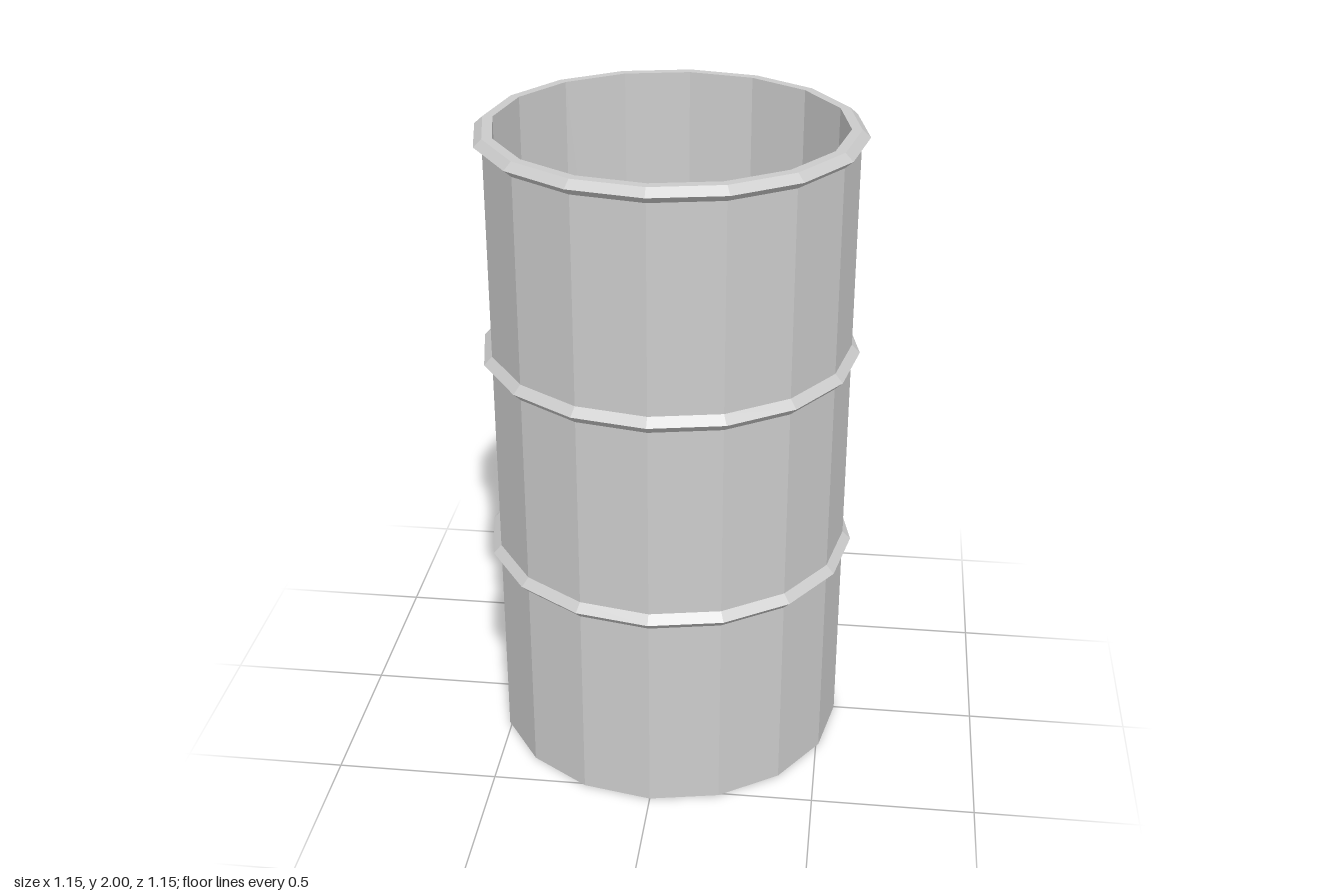
import * as THREE from 'three';

const SIDES = 16;
const OUTER = 0.55, INNER = 0.52, HOOP = 0.575;
const HEIGHT = 2, FLOOR = 0.03;

export function createModel() {
  const group = new THREE.Group();
  group.name = 'barrel';
  const material = new THREE.MeshStandardMaterial({ color: 0xcccccc, flatShading: true });

  // Revolve a profile of [radius, height] pairs into a faceted mesh
  const lathe = (name, profile) => {
    const points = profile.map(([r, y]) => new THREE.Vector2(r, y));
    const mesh = new THREE.Mesh(new THREE.LatheGeometry(points, SIDES), material);
    mesh.name = name;
    group.add(mesh);
  };

  // Open-topped drum: base, outer wall, flat lip, inner wall, inner floor
  lathe('drumShell', [
    [0, 0], [OUTER, 0], [OUTER, HEIGHT],
    [INNER, HEIGHT], [INNER, FLOOR], [0, FLOOR],
  ]);

  // Pointed hoops around the wall, the last one flush with the lip
  const hoops = { lowerHoop: 0.655, middleHoop: 1.305, rimHoop: 1.978 };
  for (const [name, y] of Object.entries(hoops)) {
    const half = name === 'rimHoop' ? HEIGHT - y : 0.025;
    lathe(name, [[OUTER, y - half], [HOOP, y], [OUTER, y + half]]);
  }
  return group;
}
